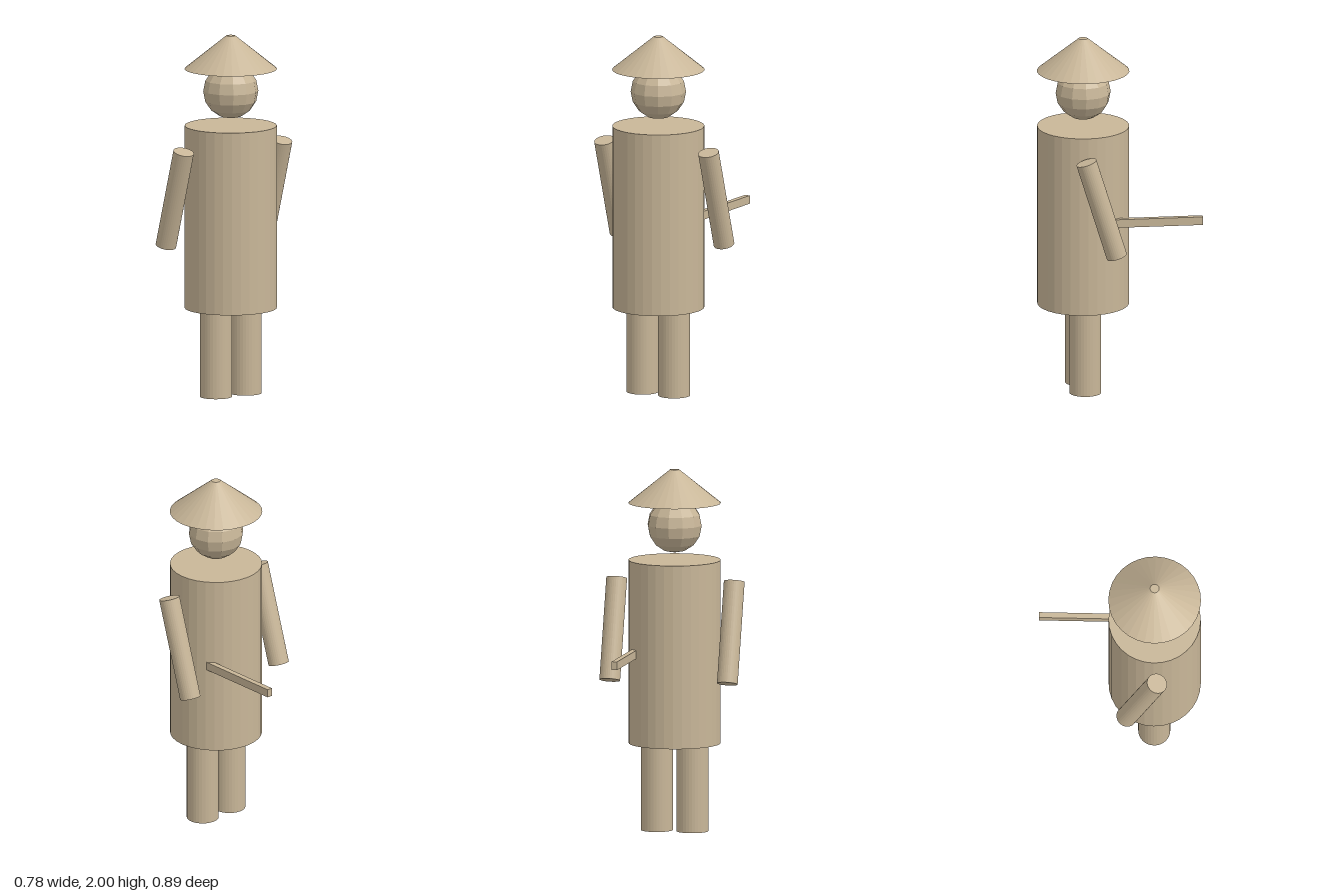
import * as THREE from 'three';

export function createModel() {
  const model = new THREE.Group();
  const material = new THREE.MeshStandardMaterial({ color: 0xc8b698, flatShading: true });
  const bodyZ = 0.19; // the figure stands forward of centre, the staff reaches back

  const add = (name, geometry, x, y, z) => {
    const mesh = new THREE.Mesh(geometry, material);
    mesh.name = name;
    mesh.position.set(x, y, z);
    model.add(mesh);
    return mesh;
  };

  // Robe, head and conical straw hat
  add('robe', new THREE.CylinderGeometry(0.253, 0.253, 1.015, 32), 0, 0.9925, bodyZ);
  add('head', new THREE.SphereGeometry(0.152, 12, 8), 0, 1.692, bodyZ);
  add('hat', new THREE.CylinderGeometry(0.025, 0.254, 0.185, 32), 0, 1.9075, bodyZ);

  // Legs and arms, mirrored; the arms slant backward toward the hands
  for (const [side, s] of [['left', 1], ['right', -1]]) {
    add(side + 'Leg', new THREE.CylinderGeometry(0.088, 0.088, 0.485, 32), s * 0.1, 0.2425, bodyZ);
    const arm = add(side + 'Arm', new THREE.CylinderGeometry(0.057, 0.057, 0.57, 32), s * 0.331, 1.115, 0.126);
    arm.rotation.x = 0.3;
  }

  // Flat staff pointing backward out of the robe
  add('staff', new THREE.BoxGeometry(0.031, 0.046, 0.51), 0.191, 0.993, -0.193);

  return model;
}
